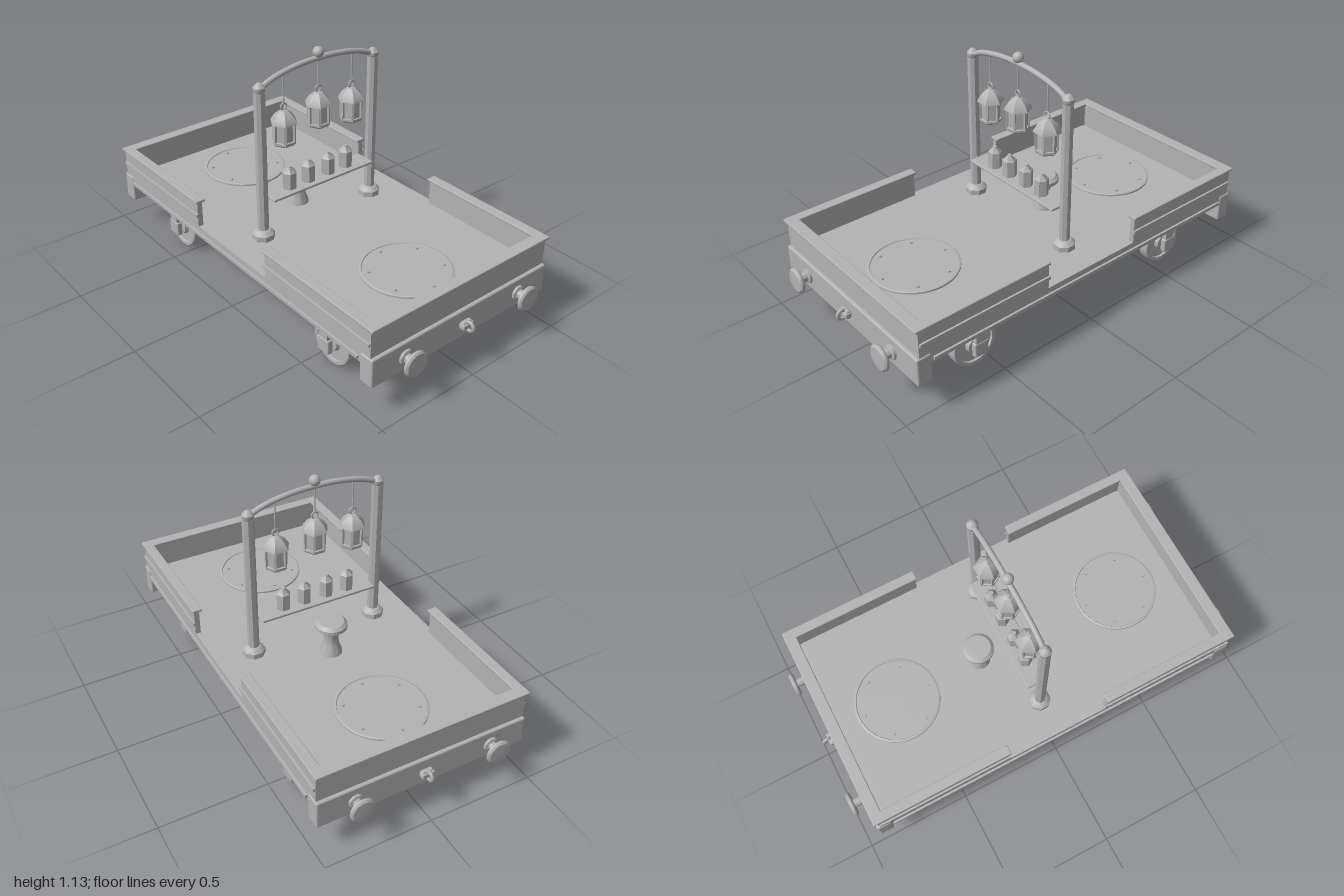
import * as THREE from 'three';
import { toCreasedNormals } from 'three/addons/utils/BufferGeometryUtils.js';
import { RoundedBoxGeometry } from 'three/addons/geometries/RoundedBoxGeometry.js';

const gray = new THREE.MeshStandardMaterial({ color: 0xb3b3b3 });
gray.name = 'plainGray';

export function createModel() {
  const root = new THREE.Group();
  root.name = 'railWagon';

  const add = (name, geo, x = 0, y = 0, z = 0, parent = root) => {
    const mesh = new THREE.Mesh(geo, gray);
    mesh.name = name;
    mesh.position.set(x, y, z);
    parent.add(mesh);
    return mesh;
  };
  const group = (name, x = 0, y = 0, z = 0) => {
    const g = new THREE.Group();
    g.name = name;
    g.position.set(x, y, z);
    root.add(g);
    return g;
  };
  const box = (w, h, d) => new THREE.BoxGeometry(w, h, d);
  const rounded = (w, h, d, r) => new RoundedBoxGeometry(w, h, d, 2, r);
  const cyl = (rTop, rBottom, h, sides) => new THREE.CylinderGeometry(rTop, rBottom, h, sides);
  // Turned profile of [radius, height] pairs, with hard edges kept
  const lathe = (profile, sides = 32, start = 0) => toCreasedNormals(
    new THREE.LatheGeometry(profile.map(([r, y]) => new THREE.Vector2(r, y)), sides, start), 0.6);

  // Deck with thin side strips
  add('deck', box(0.99, 0.055, 1.74), 0, 0.2675, 0);
  for (const s of [-1, 1]) add('deckStrip', box(0.01, 0.015, 1.7), s * 0.5, 0.26, 0);

  // Both ends are alike: beam, board, bumpers, coupling, side boards, wheels, hatch
  for (const e of [-1, 1]) {
    add('endBeam', rounded(1, 0.135, 0.07, 0.008), 0, 0.2225, e * 0.895);
    add('endBoard', box(0.98, 0.13, 0.03), 0, 0.355, e * 0.9);
    add('endBoardCap', rounded(1.006, 0.013, 0.055, 0.004), 0, 0.423, e * 0.903);

    for (const s of [-1, 1]) {
      // Side board, cap and rubbing strip
      add('sideBoard', box(0.025, 0.13, 0.66), s * 0.4825, 0.355, e * 0.585);
      add('sideBoardCap', rounded(0.048, 0.013, 0.675, 0.004), s * 0.479, 0.423, e * 0.587);
      add('sideBoardStrip', box(0.01, 0.015, 0.66), s * 0.499, 0.352, e * 0.582);

      // Round end bumper
      const bumper = group('bumper', s * 0.325, 0.222, e * 0.93);
      bumper.rotation.x = e * Math.PI / 2;
      add('bumperBody', lathe([[0, 0], [0.034, 0], [0.034, 0.01], [0.021, 0.014], [0.021, 0.045],
        [0.054, 0.047], [0.058, 0.052], [0.058, 0.06], [0.05, 0.067], [0, 0.07]]), 0, 0, 0, bumper);

      // Wheel with raised rim on the outer face
      const wheel = group('wheel', s * 0.35, 0.11, e * 0.575);
      wheel.rotation.z = -s * Math.PI / 2;
      add('wheelDisc', lathe([[0, 0], [0.105, 0], [0.11, 0.004], [0.11, 0.046], [0.106, 0.05],
        [0.09, 0.05], [0.088, 0.04], [0.045, 0.04], [0.04, 0.058], [0, 0.062]], 40), 0, 0, 0, wheel);

      // Axle box, hanger and leaf spring
      add('axleBox', rounded(0.027, 0.07, 0.07, 0.006), s * 0.433, 0.115, e * 0.575);
      add('axleHanger', box(0.022, 0.11, 0.055), s * 0.433, 0.195, e * 0.575);
      const leaf = new THREE.Shape();
      leaf.moveTo(-0.14, 0.222);
      leaf.quadraticCurveTo(0, 0.165, 0.14, 0.222);
      leaf.lineTo(0.137, 0.231);
      leaf.quadraticCurveTo(0, 0.18, -0.137, 0.231);
      const leafGeo = new THREE.ExtrudeGeometry(leaf, { depth: 0.026, bevelEnabled: false });
      leafGeo.translate(0, 0, -0.013).rotateY(Math.PI / 2);
      add('leafSpring', leafGeo, s * 0.433, 0, e * 0.575);
    }

    // Coupling in the middle of the beam
    add('couplingBlock', rounded(0.06, 0.026, 0.03, 0.006), 0, 0.222, e * 0.943);
    const link = add('couplingLink', new THREE.TorusGeometry(0.02, 0.008, 8, 20), 0, 0.222, e * 0.96);
    link.rotation.y = Math.PI / 2;
    add('couplingPin', rounded(0.05, 0.04, 0.02, 0.006), 0, 0.222, e * 0.94);

    // Cross beam above the wheels
    add('crossBeam', box(0.78, 0.075, 0.06), 0, 0.205, e * 0.575);

    // Round deck hatch with bolts
    const hatch = group('hatch', 0, 0.295, e * 0.59);
    add('hatchPlate', lathe([[0.203, 0], [0.203, 0.008], [0.198, 0.011], [0.192, 0.011],
      [0.19, 0.007], [0, 0.007]], 48), 0, 0, 0, hatch);
    for (let i = 0; i < 6; i++) {
      const a = i * Math.PI / 3;
      add('hatchBolt', cyl(0.007, 0.008, 0.008, 10), 0.163 * Math.sin(a), 0.01, 0.163 * Math.cos(a), hatch);
    }
  }

  // Stool
  add('stool', lathe([[0, 0], [0.052, 0], [0.05, 0.012], [0.036, 0.05], [0.033, 0.09], [0.042, 0.132],
    [0.064, 0.134], [0.073, 0.142], [0.073, 0.158], [0.058, 0.172], [0, 0.174]]), 0, 0.295, -0.155);

  // Octagonal posts with flared feet and caps
  for (const s of [-1, 1]) {
    add('post', lathe([[0, 0], [0.052, 0], [0.052, 0.025], [0.036, 0.042], [0.026, 0.046],
      [0.026, 0.708], [0, 0.708]], 8, Math.PI / 8), s * 0.315, 0.295, 0);
    add('postCap', lathe([[0, 0], [0.022, 0], [0.026, 0.008], [0.026, 0.025], [0.019, 0.034],
      [0.012, 0.042], [0, 0.046]], 16), s * 0.315, 1.0, 0);
  }

  // Arch and finial
  const arch = new THREE.CatmullRomCurve3([[-0.315, 1.015], [-0.24, 1.046], [-0.12, 1.069], [0, 1.075],
    [0.12, 1.069], [0.24, 1.046], [0.315, 1.015]].map(([x, y]) => new THREE.Vector3(x, y, 0)));
  add('arch', new THREE.TubeGeometry(arch, 32, 0.013, 10));
  add('finial', new THREE.SphereGeometry(0.025, 24, 16), 0, 1.102, 0);

  // Hexagonal lanterns hanging from the arch
  const hex = Math.PI / 6;
  for (const [x, y, top] of [[-0.19, 0.725, 1.055], [0, 0.757, 1.07], [0.19, 0.725, 1.055]]) {
    const lantern = group('lantern', x, y, 0);
    add('lanternGlass', lathe([[0, 0.01], [0.046, 0.01], [0.046, 0.11]], 6, hex), 0, 0, 0, lantern);
    add('lanternBase', lathe([[0, 0], [0.046, 0], [0.054, 0.008], [0.054, 0.018], [0.044, 0.02]], 6, hex),
      0, 0, 0, lantern);
    add('lanternRoof', lathe([[0, 0.103], [0.063, 0.103], [0.06, 0.112], [0.043, 0.138], [0.02, 0.157],
      [0.012, 0.162], [0, 0.163]], 6, hex), 0, 0, 0, lantern);
    for (let i = 0; i < 6; i++) {
      const a = hex + i * Math.PI / 3;
      const bar = add('lanternBar', box(0.011, 0.09, 0.011), 0.047 * Math.sin(a), 0.06, 0.047 * Math.cos(a), lantern);
      bar.rotation.y = a;
    }
    add('lanternRing', new THREE.TorusGeometry(0.015, 0.004, 8, 20), 0, 0.177, 0, lantern);
    const length = top - y - 0.185;
    add('lanternWire', cyl(0.0035, 0.0035, length, 8), 0, 0.185 + length / 2, 0, lantern);
  }

  // Shelf with hexagonal bottles
  add('shelf', rounded(0.575, 0.013, 0.105, 0.004), 0, 0.491, 0);
  for (const x of [-0.165, -0.059, 0.055, 0.16]) {
    add('bottle', lathe([[0, 0], [0.033, 0], [0.033, 0.079], [0.012, 0.1], [0.01, 0.107], [0, 0.108]], 6, hex),
      x, 0.497, 0);
  }
  return root;
}
